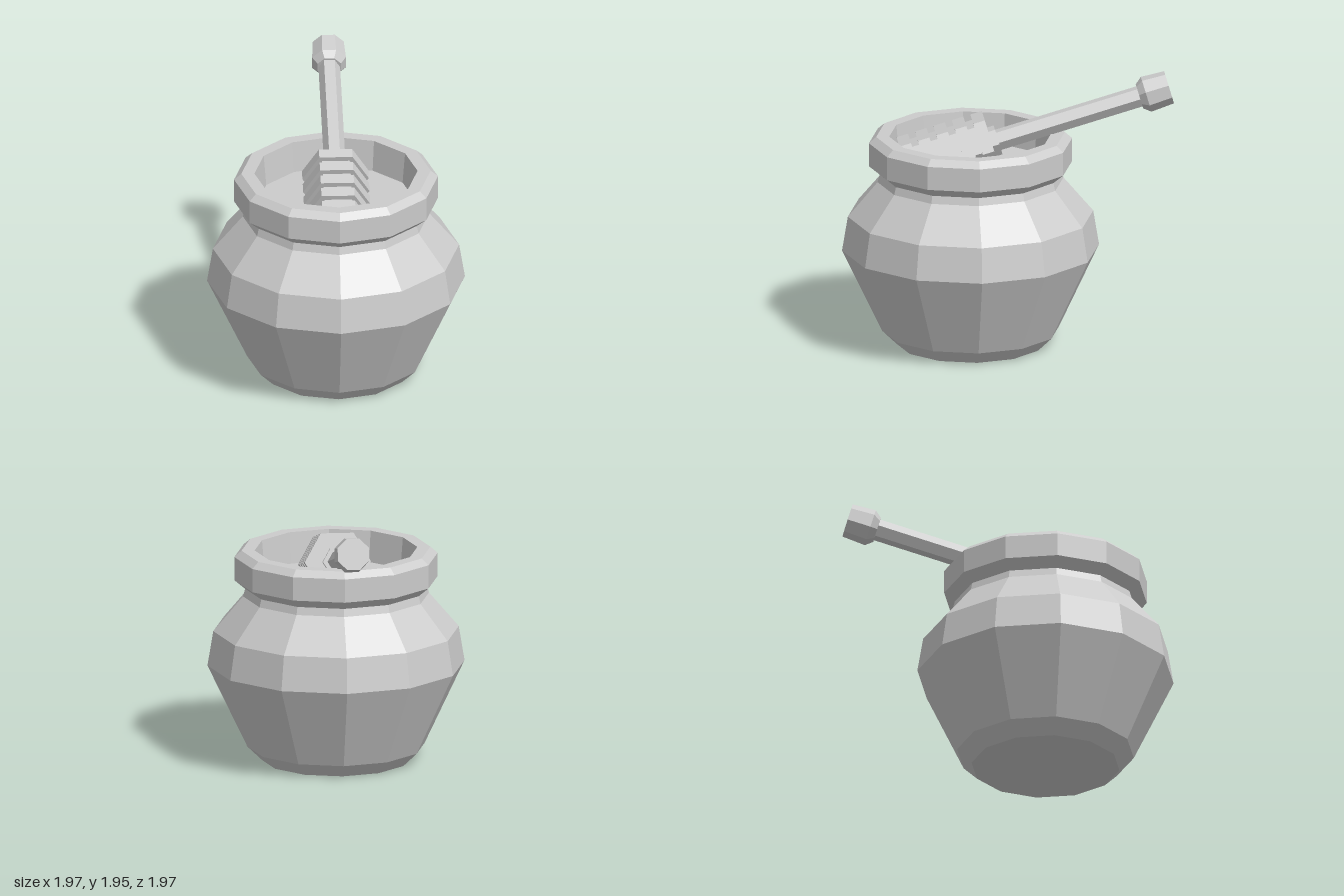
import * as THREE from 'three';

export function createModel() {
  const model = new THREE.Group();
  const grey = new THREE.MeshStandardMaterial({ color: 0xcccccc, flatShading: true });
  grey.name = 'light grey';

  const add = (parent, name, geometry) => {
    const mesh = new THREE.Mesh(geometry, grey);
    mesh.name = name;
    parent.add(mesh);
    return mesh;
  };

  // Twelve-sided pot; profile gives [distance to flat side, height]
  const SIDES = 12;
  const corner = 1 / Math.cos(Math.PI / SIDES);
  const turned = (profile) => new THREE.LatheGeometry(
    profile.map(([r, y]) => new THREE.Vector2(r * corner, y)), SIDES, Math.PI / SIDES);

  const pot = new THREE.Group();
  pot.name = 'pot';
  pot.position.set(-0.115, 0, 0.115);
  model.add(pot);
  add(pot, 'body', turned([
    [0, 0], [0.51, 0], [0.61, 0.1], [0.885, 0.7], [0.845, 0.95], [0.64, 1.2], [0.625, 1.26],
  ]));
  add(pot, 'rim', turned([
    [0.625, 1.255], [0.7, 1.32], [0.7, 1.49], [0.65, 1.535], [0.56, 1.535], [0.54, 1.31],
  ]));
  add(pot, 'honeySurface', turned([[0.54, 1.31], [0, 1.31]]));

  // Dipper leaning on the rim, built along its own y axis
  const dipper = new THREE.Group();
  dipper.name = 'dipper';
  const axis = new THREE.Vector3(0.678, 0.281, -0.678).normalize();
  const side = new THREE.Vector3(1, 0, 1).normalize();
  const up = new THREE.Vector3().crossVectors(axis, side);
  dipper.quaternion.setFromRotationMatrix(new THREE.Matrix4().makeBasis(up, axis, side));
  dipper.position.set(-0.01, 1.476, 0.01);
  model.add(dipper);

  const prism = (name, rTop, rBottom, from, to, sides = 6) => {
    const mesh = add(dipper, name, new THREE.CylinderGeometry(rTop, rBottom, to - from, sides));
    mesh.position.y = (from + to) / 2;
    return mesh;
  };

  // Ridged head: discs on a thinner core
  const PITCH = 0.137;
  for (let i = 0; i < 5; i++) prism('headDisc', 0.236, 0.236, -i * PITCH - 0.085, -i * PITCH);
  prism('headCore', 0.195, 0.195, -0.62, -0.01);

  // Handle with collar and end knob
  prism('collar', 0.11, 0.11, -0.01, 0.05);
  prism('handle', 0.077, 0.077, 0, 1.15);
  const knobParts = [
    prism('knobShoulder', 0.13, 0.09, 1.1, 1.15, 8),
    prism('knob', 0.12, 0.13, 1.15, 1.32, 8),
  ];
  for (const part of knobParts) part.rotation.y = Math.PI / 8;

  return model;
}
